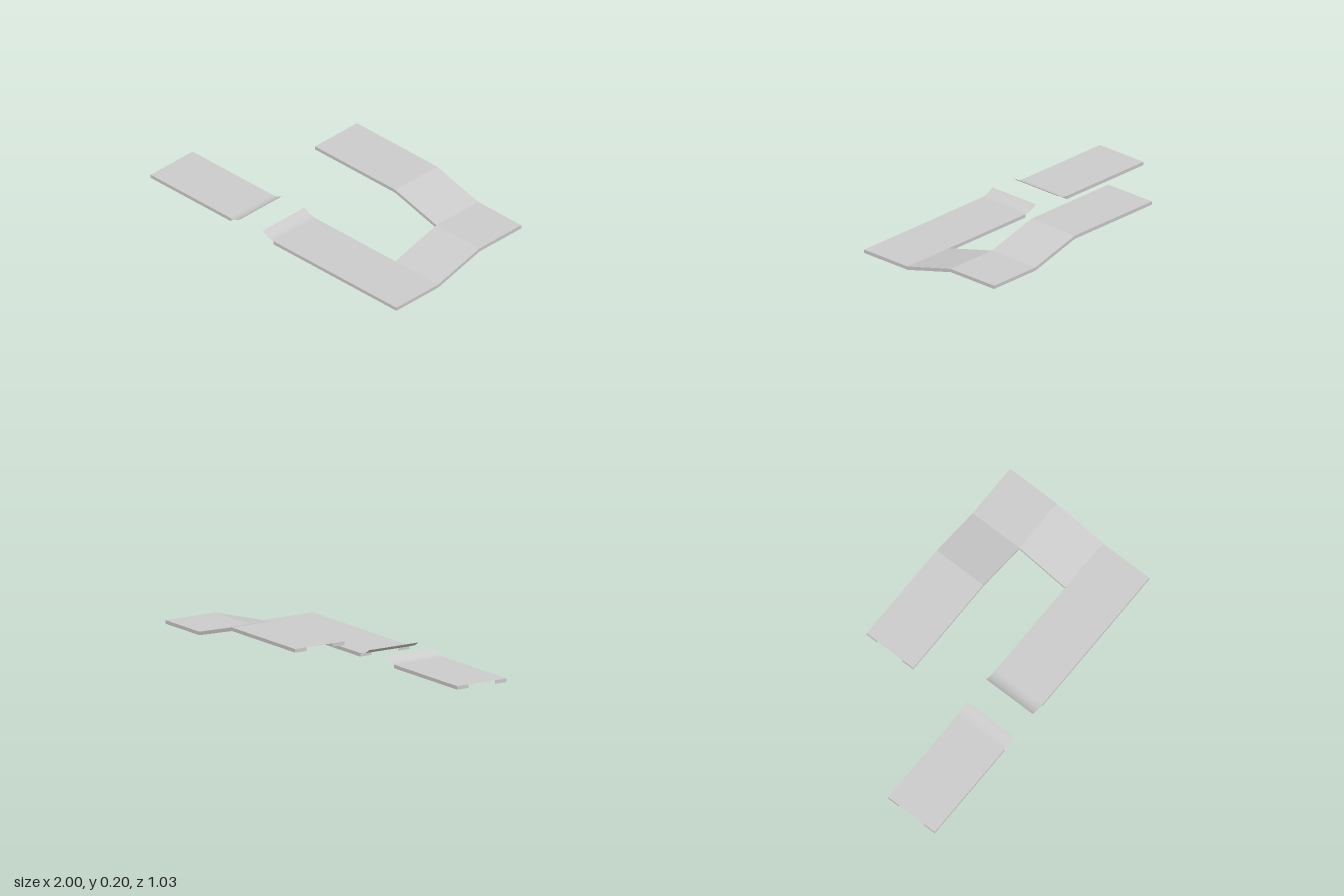
import * as THREE from 'three';

const THICK = 0.021; // depth of the skirt under each deck
const TAB = 0.08;    // width of the corner tabs on open ends
const OUT = 0.515, IN = 0.17; // outer and inner z of the lanes

const material = new THREE.MeshStandardMaterial({ color: 0xcccccc, side: THREE.DoubleSide });

// Mesh from convex polygons, each fanned into flat triangles
function polyMesh(name, polys) {
  const pos = [];
  for (const p of polys)
    for (let i = 1; i < p.length - 1; i++)
      for (const v of [p[0], p[i], p[i + 1]]) pos.push(v.x, v.y, v.z);
  const geo = new THREE.BufferGeometry();
  geo.setAttribute('position', new THREE.Float32BufferAttribute(pos, 3));
  geo.computeVertexNormals();
  const mesh = new THREE.Mesh(geo, material);
  mesh.name = name;
  return mesh;
}

// Vertical skirt below the deck edge a-b
function wall(a, b) {
  const drop = (v) => new THREE.Vector3(v.x, v.y - THICK, v.z);
  return [drop(a), drop(b), b, a];
}

// Open end: only a tab at each corner, with a notch between
function tabs(a, b) {
  const t = TAB / a.distanceTo(b);
  return [wall(a, a.clone().lerp(b, t)), wall(b.clone().lerp(a, t), b)];
}

// Hollow track section: deck panels over a skirt following the outline
function section(name, outline, decks, openEdges) {
  const group = new THREE.Group();
  group.name = name;
  const pts = outline.map(([x, y, z]) => new THREE.Vector3(x, y, z));
  for (const [part, ids] of Object.entries(decks))
    group.add(polyMesh(part, [ids.map((i) => pts[i])]));
  const walls = [], ends = [];
  pts.forEach((a, i) => {
    const b = pts[(i + 1) % pts.length];
    if (openEdges.includes(i)) ends.push(...tabs(a, b));
    else walls.push(wall(a, b));
  });
  group.add(polyMesh('skirt', walls), polyMesh('endTabs', ends));
  return group;
}

// Thin jump lip curving up from a deck end; dir is the x direction it points
function lip(name, x, dir) {
  const run = 0.087, rise = 0.034;
  const radius = (run * run + rise * rise) / (2 * rise);
  const sweep = Math.asin(run / radius);
  const geo = new THREE.PlaneGeometry(1, OUT - IN, 8, 1).rotateX(-Math.PI / 2);
  const p = geo.attributes.position;
  for (let i = 0; i < p.count; i++) {
    const along = 0.5 + dir * p.getX(i);
    const a = sweep * along;
    p.setXYZ(i, x + dir * radius * Math.sin(a), THICK + radius * (1 - Math.cos(a)),
      p.getZ(i) + (OUT + IN) / 2);
  }
  geo.computeVertexNormals();
  const mesh = new THREE.Mesh(geo, material);
  mesh.name = name;
  return mesh;
}

export function createModel() {
  const model = new THREE.Group();
  model.name = 'rampTrack';
  const low = THICK, mid = 0.112, high = 0.203;

  // Climbing U-shaped section, outline counterclockwise from above
  model.add(section('climbingTrack', [
    [0, low, OUT], [1, low, OUT], [1, low, IN], [1, mid, -IN], [1, mid, -OUT],
    [0.65, mid, -OUT], [0.315, high, -OUT], [-0.338, high, -OUT],
    [-0.338, high, -IN], [0.315, high, -IN], [0.65, mid, -IN],
    [0.65, low, IN], [0, low, IN],
  ], {
    lowerDeck: [0, 1, 2, 11, 12],
    sideRamp: [11, 2, 3, 10],
    cornerLanding: [10, 3, 4, 5],
    backRamp: [9, 10, 5, 6],
    upperDeck: [8, 9, 6, 7],
  }, [7, 12]));

  // Separate section across the gap
  model.add(section('landingTrack', [
    [-1, low, OUT], [-0.35, low, OUT], [-0.35, low, IN], [-1, low, IN],
  ], { landingDeck: [0, 1, 2, 3] }, [1, 3]));

  // Lips facing each other over the gap
  model.add(lip('takeoffLip', 0, -1), lip('landingLip', -0.35, 1));
  return model;
}
